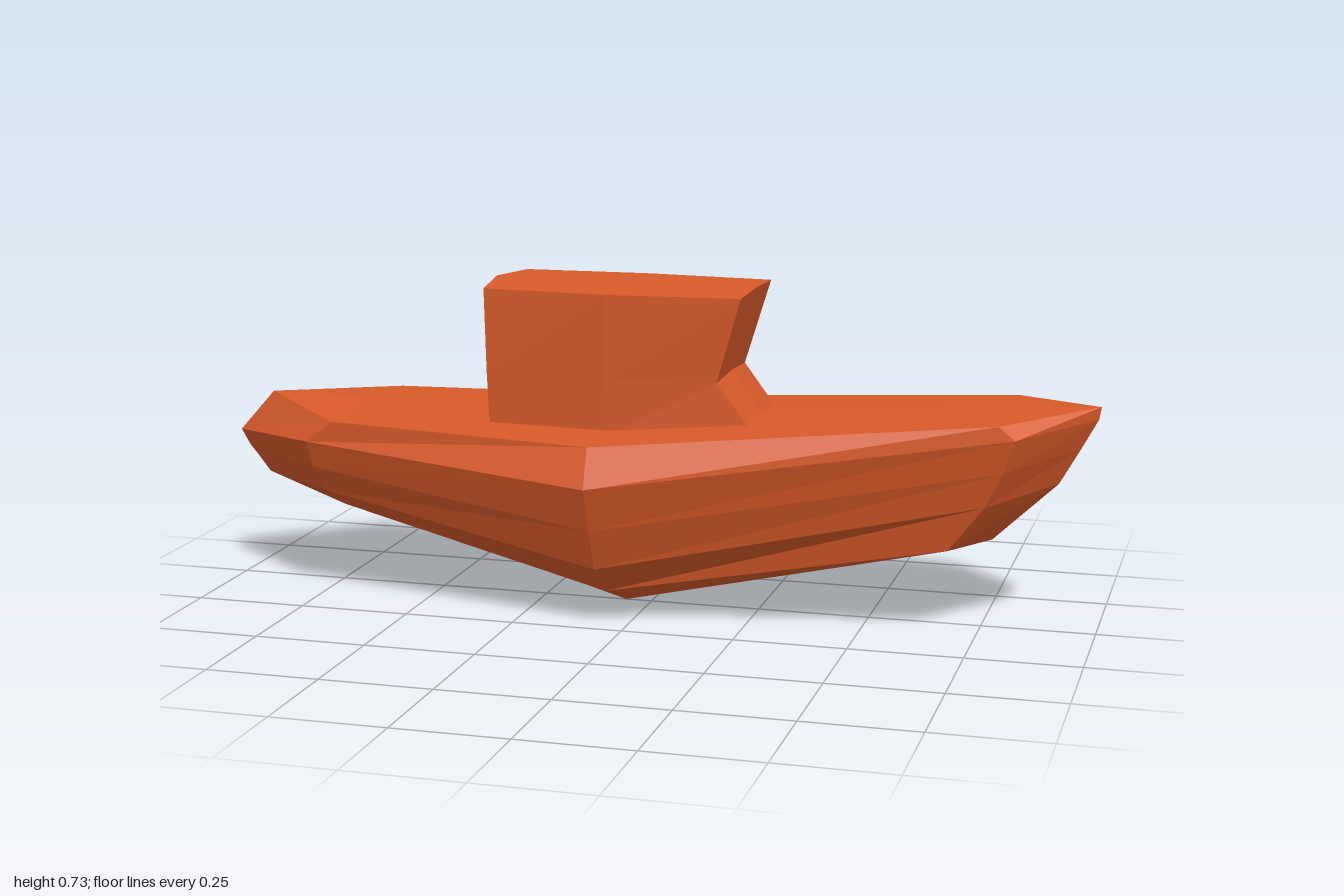
import * as THREE from 'three';

const material = new THREE.MeshStandardMaterial({ color: 0xd95b2a, flatShading: true, roughness: 0.8 });

// Skins half cross-sections (bow to stern, centre top to bottom) and mirrors them across z = 0.
function loftMirrored(name, stations) {
  const positions = [];
  const addTriangle = (a, b, c) => {
    const [p, q, r] = [a, b, c].map((v) => new THREE.Vector3(...v));
    if (q.clone().sub(p).cross(r.clone().sub(p)).length() < 1e-7) return;
    positions.push(...a, ...b, ...c);
    for (const [x, y, z] of [a, c, b]) positions.push(x, y, -z);
  };
  for (let i = 0; i < stations.length - 1; i++) {
    for (let j = 0; j < stations[i].length - 1; j++) {
      const a = stations[i][j], b = stations[i][j + 1];
      const c = stations[i + 1][j + 1], d = stations[i + 1][j];
      addTriangle(a, d, c);
      addTriangle(a, c, b);
    }
  }
  const geometry = new THREE.BufferGeometry();
  geometry.setAttribute('position', new THREE.Float32BufferAttribute(positions, 3));
  geometry.computeVertexNormals();
  const mesh = new THREE.Mesh(geometry, material);
  mesh.name = name;
  return mesh;
}

export function createModel() {
  const boat = new THREE.Group();
  boat.name = 'boat';

  // Each hull station: deck centre, deck edge, rub line, side, chine, bilge, keel
  boat.add(loftMirrored('hull', [
    [[0.995, 0.503, 0], [0.995, 0.503, 0], [0.99, 0.475, 0], [0.955, 0.41, 0], [0.91, 0.33, 0], [0.77, 0.197, 0], [0.77, 0.197, 0]],
    [[0.8, 0.494, 0], [0.8, 0.485, 0.18], [0.835, 0.455, 0.175], [0.81, 0.38, 0.16], [0.77, 0.3, 0.142], [0.69, 0.195, 0.12], [0.69, 0.179, 0]],
    [[-0.06, 0.43, 0], [-0.06, 0.417, 0.302], [-0.06, 0.33, 0.334], [-0.06, 0.23, 0.295], [-0.06, 0.135, 0.252], [-0.06, 0.065, 0.17], [-0.06, 0, 0]],
    [[-0.68, 0.435, 0], [-0.68, 0.423, 0.222], [-0.745, 0.372, 0.212], [-0.74, 0.31, 0.19], [-0.72, 0.25, 0.16], [-0.7, 0.205, 0.1], [-0.7, 0.184, 0]],
    [[-0.915, 0.44, 0], [-0.915, 0.44, 0], [-1, 0.345, 0], [-0.98, 0.31, 0], [-0.955, 0.28, 0], [-0.93, 0.248, 0], [-0.93, 0.248, 0]],
  ]));

  // Each cabin station: roof centre, roof edge, window-sill fold, base
  boat.add(loftMirrored('cabin', [
    [[0.24, 0.731, 0], [0.24, 0.731, 0], [0.185, 0.545, 0], [0.257, 0.45, 0]],
    [[0.24, 0.731, 0], [0.238, 0.726, 0.146], [0.182, 0.537, 0.133], [0.255, 0.44, 0.13]],
    [[-0.06, 0.733, 0], [-0.06, 0.726, 0.17], [-0.06, 0.54, 0.16], [-0.06, 0.41, 0.153]],
    [[-0.34, 0.733, 0], [-0.34, 0.727, 0.154], [-0.338, 0.54, 0.146], [-0.335, 0.41, 0.138]],
    [[-0.361, 0.733, 0], [-0.361, 0.733, 0], [-0.359, 0.54, 0], [-0.352, 0.41, 0]],
  ]));

  return boat;
}
